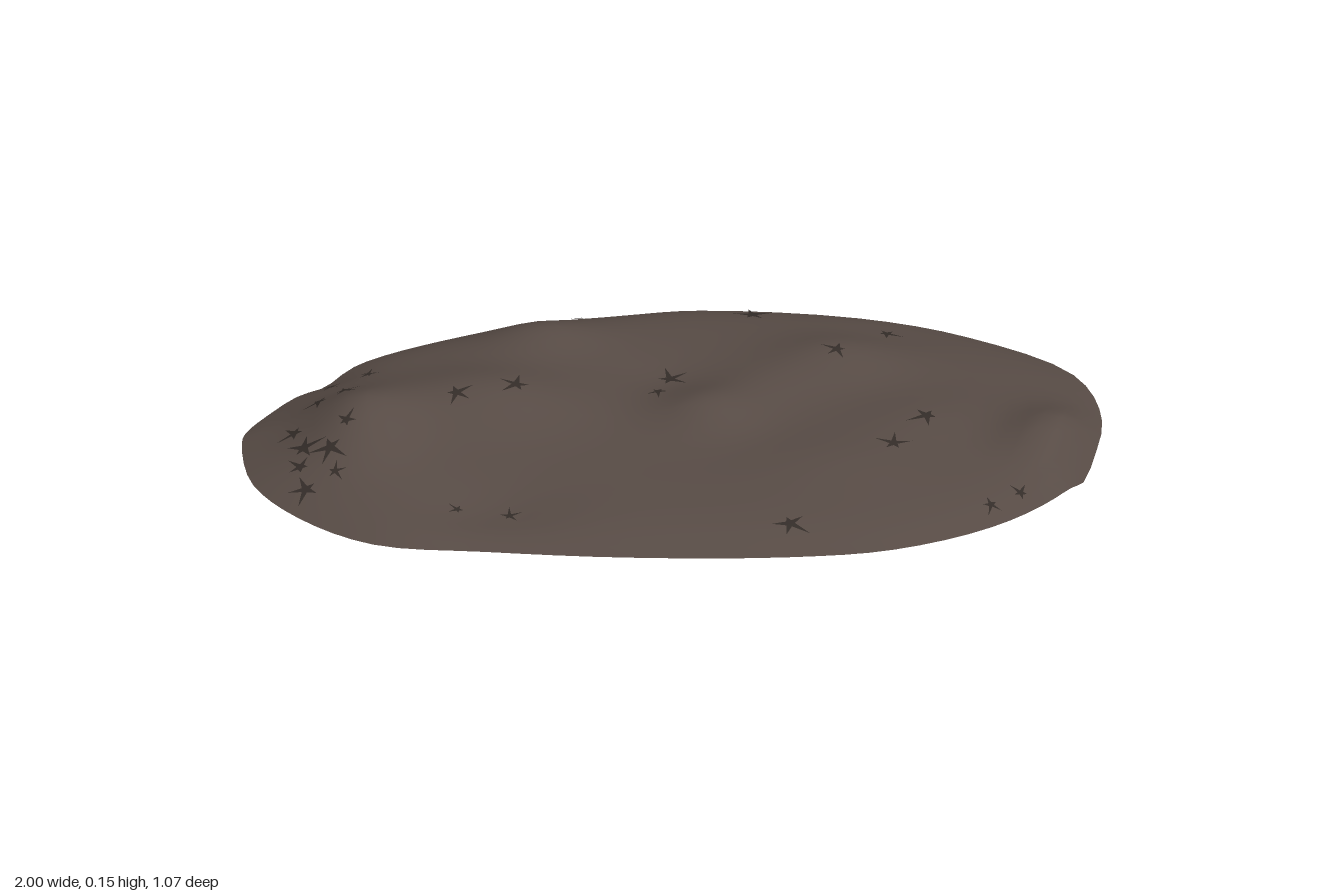
import * as THREE from 'three';

// Rim of the mound as x, z pairs
const RIM = [
  [-1, 0], [-.99, -.05], [-.92, -.14], [-.81, -.25], [-.7, -.34], [-.53, -.42], [-.34, -.48], [-.09, -.52],
  [.08, -.535], [.45, -.49], [.7, -.4], [.94, -.23], [1, -.03], [.95, .19], [.88, .3], [.73, .42],
  [.5, .51], [.26, .535], [-.12, .525], [-.45, .49], [-.71, .45], [-.88, .33], [-.98, .18],
];
// Soft lumps and hollows: x, z, height, radius in x, radius in z
const LUMPS = [
  [-.74, .03, .08, .13, .15], [-.45, -.07, .055, .22, .15], [-.3, -.37, .042, .13, .1],
  [.08, -.01, .042, .12, .1], [.38, -.23, .04, .16, .11], [.2, -.12, .015, .12, .1], [.36, .2, .02, .2, .14],
  [.58, .02, .018, .16, .12], [.93, .11, .13, .12, .12],
  [-.45, .36, -.03, .18, .12], [-.02, -.18, -.008, .1, .08], [.55, -.4, -.015, .12, .1],
];
// Low spots along the rim, in the same form
const DIPS = [[.96, .18, -.03, .06, .06], [-.8, -.26, -.018, .06, .06], [-1, -.03, -.008, .12, .2]];
// Small splits in the surface: x, z, size
const SPLITS = [
  [-.2, -.46, .03], [.2, -.46, .055], [.51, -.37, .045], [.39, -.22, .045], [0, -.17, .055], [-.03, -.1, .04],
  [-.36, -.08, .055], [-.5, -.04, .05], [.59, .04, .055], [.51, .15, .05], [.26, .45, .055], [-.51, .34, .03],
  [-.39, .37, .035], [.73, .36, .035], [.8, .31, .035], [-.76, -.08, .05], [-.82, -.06, .045], [-.7, -.22, .035],
  [-.79, -.19, .035], [-.88, .04, .045], [-.86, .11, .055], [-.8, .14, .055], [-.87, .17, .045], [-.79, .21, .035],
  [-.86, .25, .055], [-.76, .08, .04],
];

const rim = new THREE.CatmullRomCurve3(RIM.map(([x, z]) => new THREE.Vector3(x, 0, z)), true, 'centripetal');
const RIM_POINTS = rim.getPoints(360);
const bump = (x, z, [cx, cz, h, rx, rz]) => h * Math.exp(-(((x - cx) / rx) ** 2) - ((z - cz) / rz) ** 2);

// Height at a place, where t runs from 0 in the middle to 1 on the rim
function height(x, z, t) {
  const edge = DIPS.reduce((sum, d) => sum + bump(x, z, d), .03);
  const top = LUMPS.reduce((sum, l) => sum + bump(x, z, l), .047);
  return edge + top * (1 - Math.pow(t, 8));
}

// Fraction of the way to the rim in the direction of x, z
function rimFraction(x, z) {
  const reach = Math.hypot(x, z);
  let best = RIM_POINTS[0], most = -2;
  for (const p of RIM_POINTS) {
    const along = (p.x * x + p.z * z) / Math.hypot(p.x, p.z);
    if (along > most) { most = along; best = p; }
  }
  return Math.min(1, reach / Math.hypot(best.x, best.z));
}

// Rings of vertices from the middle out to the rim
function moundGeometry(rings = 24, sides = 92) {
  const pos = [0, height(0, 0, 0), 0], index = [];
  for (let r = 1; r <= rings; r++) {
    const t = r / rings;
    for (let s = 0; s < sides; s++) {
      const p = rim.getPoint(s / sides);
      pos.push(p.x * t, height(p.x * t, p.z * t, t), p.z * t);
    }
  }
  const at = (r, s) => 1 + (r - 1) * sides + (s % sides);
  for (let s = 0; s < sides; s++) {
    index.push(0, at(1, s + 1), at(1, s));
    for (let r = 1; r < rings; r++) {
      index.push(at(r, s), at(r, s + 1), at(r + 1, s), at(r, s + 1), at(r + 1, s + 1), at(r + 1, s));
    }
  }
  const geometry = new THREE.BufferGeometry();
  geometry.setAttribute('position', new THREE.Float32BufferAttribute(pos, 3));
  geometry.setIndex(index);
  geometry.computeVertexNormals();
  return geometry;
}

// Thin ragged star laid on the surface
function splitGeometry(cx, cz, size, turn) {
  const star = new THREE.Shape();
  const points = 5;
  for (let i = 0; i < points * 2; i++) {
    const a = turn + (i / points) * Math.PI;
    const r = i % 2 ? size * .2 : size * (.7 + .3 * Math.sin(i * 2.3 + turn * 5));
    star[i ? 'lineTo' : 'moveTo'](Math.cos(a) * r, Math.sin(a) * r);
  }
  const geometry = new THREE.ShapeGeometry(star).rotateX(-Math.PI / 2).translate(cx, 0, cz);
  const p = geometry.attributes.position;
  for (let i = 0; i < p.count; i++) {
    const x = p.getX(i), z = p.getZ(i);
    p.setY(i, height(x, z, rimFraction(x, z)) + .004);
  }
  geometry.computeVertexNormals();
  return geometry;
}

export function createModel() {
  const earth = new THREE.MeshStandardMaterial({ color: 0x574b45, side: THREE.DoubleSide });
  earth.name = 'earth brown';
  const dark = new THREE.MeshStandardMaterial({ color: 0x342d29, side: THREE.DoubleSide });
  dark.name = 'dark earth';

  const model = new THREE.Group();
  model.name = 'earthMound';
  const mound = new THREE.Mesh(moundGeometry(), earth);
  mound.name = 'moundSurface';
  model.add(mound);

  const splits = new THREE.Group();
  splits.name = 'surfaceSplits';
  SPLITS.forEach(([x, z, size], i) => {
    const split = new THREE.Mesh(splitGeometry(x, z, size, i * 1.7), dark);
    split.name = 'split';
    splits.add(split);
  });
  model.add(splits);
  return model;
}
